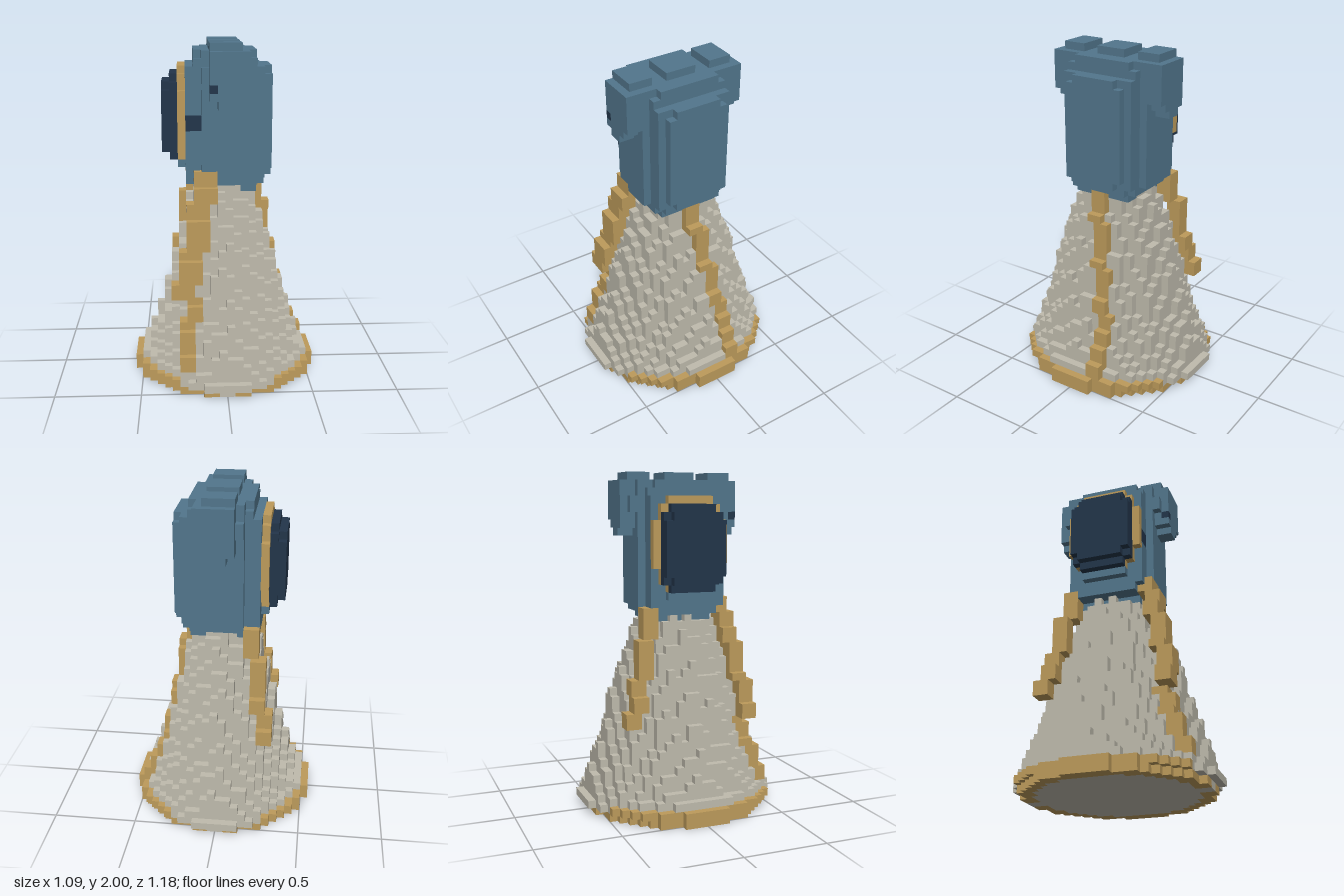
import * as THREE from 'three';

const V = 1 / 22; // edge of one cube

const materials = {
  stone: new THREE.MeshStandardMaterial({ color: 0xbfbbad }),
  gold: new THREE.MeshStandardMaterial({ color: 0xbd9b5b }),
  blue: new THREE.MeshStandardMaterial({ color: 0x52768c }),
  navy: new THREE.MeshStandardMaterial({ color: 0x22354a }),
};
for (const [name, m] of Object.entries(materials)) m.name = name;

const key = (x, y, z) => `${x},${y},${z}`;

// Linear interpolation through [position, a, b] points
function along(points, t) {
  let i = 0;
  while (i < points.length - 2 && t > points[i + 1][0]) i++;
  const p = points[i], q = points[i + 1];
  const f = Math.min(1, Math.max(0, (t - p[0]) / (q[0] - p[0])));
  return [1, 2].map((k) => p[k] + (q[k] - p[k]) * f);
}

// Skin of all cubes of one part, leaving out faces between touching cubes
function partMesh(name, material, cells, filled) {
  const pos = [], nor = [];
  for (const c of cells) {
    for (let d = 0; d < 3; d++) for (const s of [1, -1]) {
      const n = [0, 0, 0];
      n[d] = s;
      if (filled.has(key(c[0] + n[0], c[1] + n[1], c[2] + n[2]))) continue;
      const u = (d + 1) % 3, w = (d + 2) % 3;
      const quad = [[0, 0], [1, 0], [1, 1], [0, 1]].map(([a, b]) => {
        const p = [...c];
        if (s > 0) p[d]++;
        p[u] += a;
        p[w] += b;
        return p.map((q) => q * V);
      });
      if (s < 0) quad.reverse();
      for (const i of [0, 1, 2, 0, 2, 3]) {
        pos.push(...quad[i]);
        nor.push(...n);
      }
    }
  }
  const g = new THREE.BufferGeometry();
  g.setAttribute('position', new THREE.Float32BufferAttribute(pos, 3));
  g.setAttribute('normal', new THREE.Float32BufferAttribute(nor, 3));
  const mesh = new THREE.Mesh(g, material);
  mesh.name = name;
  return mesh;
}

export function createModel() {
  const cubes = new Map();
  const set = (part, x, y, z) => cubes.set(key(x, y, z), { part, cell: [x, y, z] });
  const box = (part, x0, x1, y0, y1, z0, z1) => {
    for (let x = x0; x < x1; x++) for (let y = y0; y < y1; y++)
      for (let z = z0; z < z1; z++) set(part, x, y, z);
  };

  // Flared robe with shallow folds, and a gold hem at the ground
  const robe = [[1, 11.9, 12.9], [3, 10.1, 12.1], [6, 9, 11.1], [9, 8, 9.9], [13, 7, 8.9],
    [17, 6, 7.8], [21, 5, 6.2], [24, 4.2, 5], [25, 3.6, 4.6]];
  for (let y = 0; y < 26; y++) {
    let [rx, rz] = along(robe, y);
    if (y === 0) rz = 11.9;
    for (let x = -13; x < 13; x++) for (let z = -13; z < 13; z++) {
      const cx = x + 0.5, cz = z + 0.5;
      const fold = y < 3 ? 0 : 0.25 * Math.cos(12 * Math.atan2(cz, cx) + Math.sin(y * 0.8));
      const r = Math.hypot(cx / (rx + fold), cz / (rz + fold));
      if (r > 1) continue;
      const hem = y === 0 ? r > 0.86 && Math.abs(cx) > 1 : y === 1 && Math.abs(cx) > 6 && r > 0.8;
      set(hem ? 'hem' : 'robe', x, y, z);
    }
  }

  // Collar and rounded head
  box('head', -3, -2, 25, 26, -4, 4);
  box('head', 2, 4, 25, 26, -4, 4);
  const block = (hx, hz, y0, y1) => box('head', -hx, hx, y0, y1, -hz, hz);
  block(5, 4, 26, 27);
  block(4, 5, 26, 27);
  block(3, 6, 27, 42);
  block(5, 5, 27, 41);
  block(4, 5, 41, 42);
  block(3, 6, 42, 43);
  block(4, 4, 42, 43);
  block(2, 2, 43, 44);
  box('head', 5, 6, 27, 41, -3, 3);
  box('head', 5, 6, 28, 40, -4, 4);
  box('head', -6, -5, 28, 30, -3, 3);

  // Lobes on the front and back of the head
  for (const s of [1, -1]) {
    const lobe = (x0, x1, y0, y1, a, b) =>
      box('lobe', x0, x1, y0, y1, s > 0 ? a : -b, s > 0 ? b : -a);
    lobe(-1, 1, 36, 37, 6, 8);
    lobe(-2, 2, 37, 38, 6, 8);
    lobe(-2, 3, 38, 43, 6, 8);
    lobe(-3, 3, 39, 41, 6, 7);
    lobe(-2, 2, 43, 44, 4, 7);
  }

  // Round shield on the right side: gold rim, navy face
  box('shieldRim', -6, -5, 29, 41, -3, 3);
  box('shieldRim', -6, -5, 30, 40, -4, 4);
  box('shieldRim', -6, -5, 32, 38, -5, 5);
  box('shieldFace', -7, -6, 29, 40, -3, 3);
  box('shieldFace', -7, -6, 30, 39, -4, 4);
  box('shieldFace', -8, -7, 30, 39, -3, 3);
  box('shieldFace', -8, -7, 31, 38, -4, 4);

  // Dark marks on the face
  box('faceMark', -5, -3, 33, 35, 4, 5);
  box('faceMark', -2, -1, 38, 39, 7, 8);

  // Hanging ribbons: points are [layer, x, z]
  const ribbon = (part, y0, y1, points, wx, wz) => {
    for (let y = y0; y < y1; y++) {
      const [x, z] = along(points, y).map(Math.round);
      box(part, x, x + wx, y, y + 1, z, z + wz);
    }
  };
  ribbon('frontRibbon', 12, 28, [[12, -7, 7], [20, -5, 6], [27, -4, 4]], 3, 2);
  ribbon('backRibbon', 12, 27, [[12, -7, -9], [20, -6, -7], [26, -5, -6]], 2, 2);
  ribbon('leftRibbon', 2, 26, [[2, 9, -4], [6, 7, -4], [13, 5, -3], [19, 4, -2], [25, 3, -1]], 2, 2);
  // Lower end of the front ribbon, lying on the robe
  ribbon('frontRibbon', 3, 12, [[3, -6, 9], [6, -6, 8], [12, -5, 6]], 2, 2);

  const colours = {
    robe: 'stone', hem: 'gold', head: 'blue', lobe: 'blue', shieldRim: 'gold', shieldFace: 'navy',
    faceMark: 'navy', frontRibbon: 'gold', backRibbon: 'gold', leftRibbon: 'gold',
  };
  const group = new THREE.Group();
  group.name = 'robedFigure';
  const all = [...cubes.values()];
  for (const [part, colour] of Object.entries(colours)) {
    const cells = all.filter((c) => c.part === part).map((c) => c.cell);
    group.add(partMesh(part, materials[colour], cells, cubes));
  }
  return group;
}
